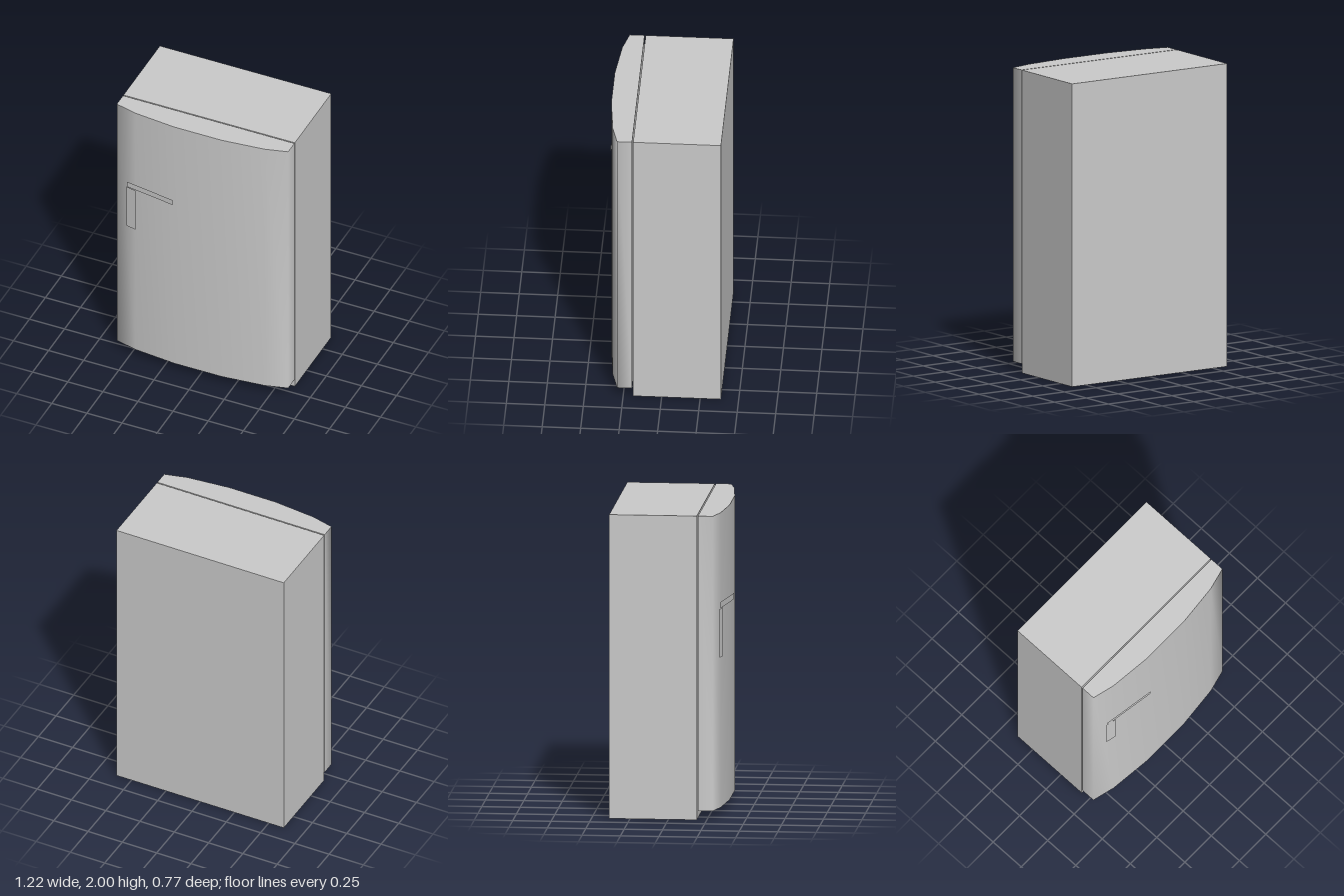
import * as THREE from 'three';
import { toCreasedNormals } from 'three/addons/utils/BufferGeometryUtils.js';

export function createModel() {
  const group = new THREE.Group();
  const grey = new THREE.MeshStandardMaterial({ color: 0xcccccc });
  const greyThin = new THREE.MeshStandardMaterial({ color: 0xcccccc, side: THREE.DoubleSide });

  const add = (name, geometry, material = grey) => {
    const mesh = new THREE.Mesh(geometry, material);
    mesh.name = name;
    group.add(mesh);
    return mesh;
  };

  // Cabinet: plain box standing on the ground
  add('cabinet', new THREE.BoxGeometry(1.22, 2, 0.57)).position.set(0, 1, -0.1);

  // Door: bowed outline (x, z) mirrored left to right, extruded upward
  const half = [[0.17, 0.357], [0.46, 0.328], [0.61, 0.29], [0.61, 0.193]];
  const outline = [
    ...half.map(([x, z]) => new THREE.Vector2(x, -z)),
    ...half.map(([x, z]) => new THREE.Vector2(-x, -z)).reverse(),
  ];
  const door = new THREE.ExtrudeGeometry(new THREE.Shape(outline), { depth: 1.94, bevelEnabled: false });
  door.rotateX(-Math.PI / 2);
  door.translate(0, 0.06, 0);
  add('door', toCreasedNormals(door, 1.4));

  // Handle bars: thin upright plates slanting along the bowed door front
  const plate = (name, x0, z0, x1, z1, y0, y1) => {
    const dx = x1 - x0, dz = z1 - z0;
    const mesh = add(name, new THREE.PlaneGeometry(Math.hypot(dx, dz), y1 - y0), greyThin);
    mesh.position.set((x0 + x1) / 2, (y0 + y1) / 2, (z0 + z1) / 2);
    mesh.rotation.y = -Math.atan2(dz, dx);
  };
  plate('handleCrossbar', -0.52, 0.33, -0.17, 0.385, 1.38, 1.42);
  plate('handleUpright', -0.525, 0.325, -0.455, 0.341, 1.055, 1.375);

  return group;
}
